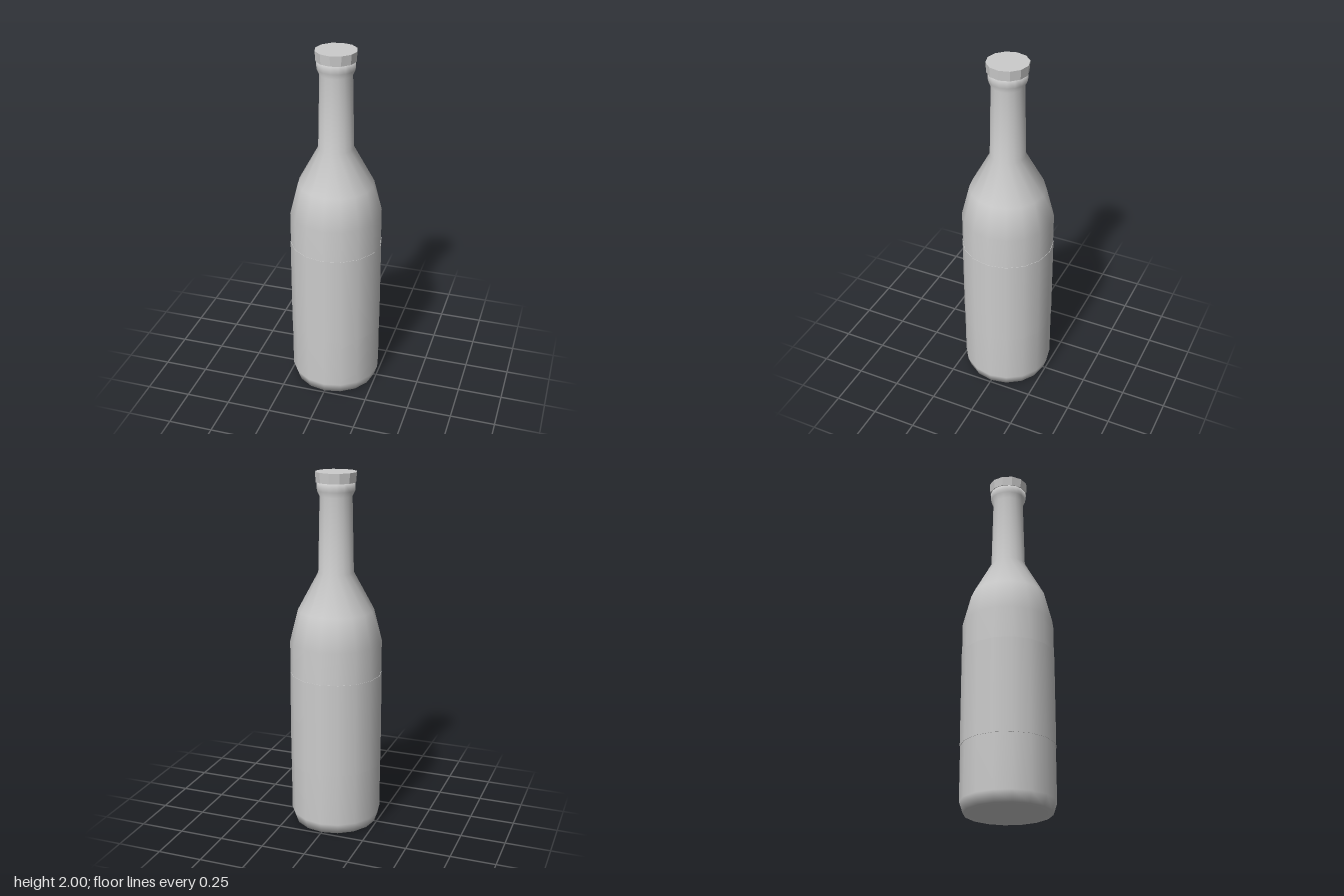
import * as THREE from 'three';

export function createModel() {
  const group = new THREE.Group();
  const grey = new THREE.MeshStandardMaterial({ color: 0xcccccc });
  grey.name = 'pale grey';
  const facetedGrey = grey;

  const lathe = (name, profile, sides, flat = false) => {
    let geometry = new THREE.LatheGeometry(profile.map(([r, y]) => new THREE.Vector2(r, y)), sides);
    if (flat) {
      geometry = geometry.toNonIndexed();
      geometry.computeVertexNormals();
    }
    const mesh = new THREE.Mesh(geometry, facetedGrey);
    mesh.name = name;
    group.add(mesh);
  };

  // Smooth bottle: base, sides, sloping shoulder, neck and lip
  lathe('bottle', [
    [0, 0], [0.235, 0], [0.255, 0.06], [0.255, 1.07], [0.21, 1.25],
    [0.097, 1.46], [0.088, 1.87], [0.102, 1.9], [0.104, 1.95], [0, 1.95],
  ], 16);

  // Label sleeve, a hair proud of the sides
  lathe('label', [[0.255, 0.36], [0.257, 0.36]], 16, true);
  lathe('label', [[0.257, 0.36], [0.257, 0.89]], 16);
  lathe('label', [[0.257, 0.89], [0.255, 0.89]], 16, true);

  // Faceted cap with a slight taper
  lathe('cap', [[0, 1.945], [0.109, 1.945], [0.113, 2], [0, 2]], 12, true);

  return group;
}
